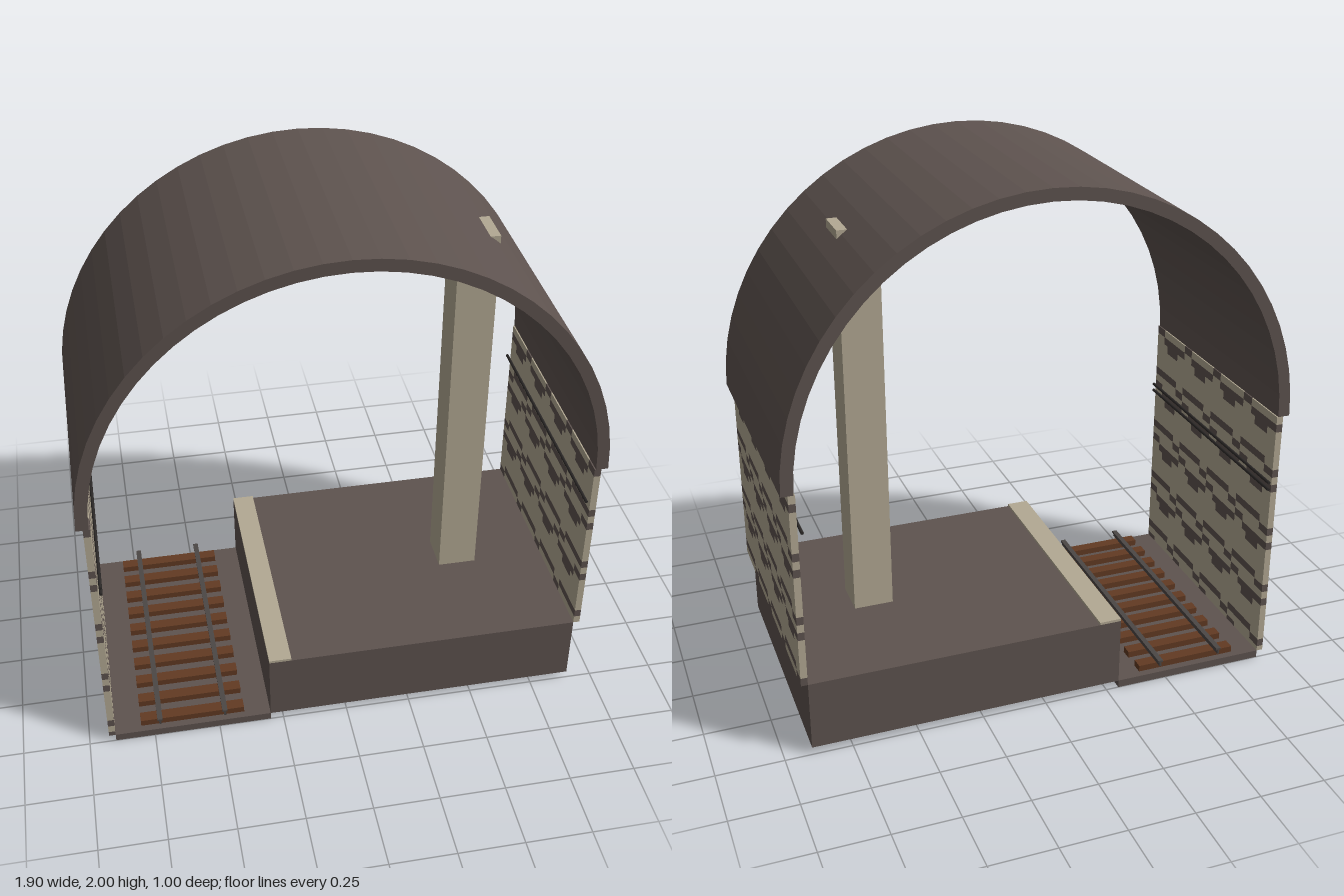
import * as THREE from 'three';
import { mergeGeometries } from 'three/addons/utils/BufferGeometryUtils.js';

const material = (name, color) => {
  const m = new THREE.MeshStandardMaterial({ color });
  m.name = name;
  return m;
};

// Box given by its minimum and maximum corners
function boxGeometry(x0, x1, y0, y1, z0, z1) {
  return new THREE.BoxGeometry(x1 - x0, y1 - y0, z1 - z0)
    .translate((x0 + x1) / 2, (y0 + y1) / 2, (z0 + z1) / 2);
}

// Repeating 8 x 8 masonry tile: # is dark joint, . is light stone
const TILE = [
  '##......',
  '..######',
  '...###..',
  '........',
  '........',
  '........',
  '######..',
  '......##',
];

export function createModel() {
  const model = new THREE.Group();
  model.name = 'stationTunnel';
  const darkStone = material('dark stone', 0x5e534f);
  const lightStone = material('light stone', 0xb3a993);
  const wood = material('sleeper wood', 0x623a22);
  const steel = material('rail steel', 0x4c4745);
  const rubber = material('cable black', 0x2b2827);

  const add = (name, geometry, mat, parent = model) => {
    const mesh = new THREE.Mesh(geometry, mat);
    mesh.name = name;
    parent.add(mesh);
    return mesh;
  };

  // Vaulted roof
  const arch = new THREE.Shape();
  arch.absarc(0, 0, 0.95, 0, Math.PI, false);
  arch.absarc(0, 0, 0.905, Math.PI, 0, true);
  add('archedRoof', new THREE.ExtrudeGeometry(arch, {
    depth: 1, bevelEnabled: false, curveSegments: 16,
  }).translate(0, 1.05, -0.5), darkStone);

  // Patterned side walls, each row cut into runs of one colour
  const cell = 0.25 / 8;
  function addWall(name, x0, x1, bottom, top) {
    const wall = new THREE.Group();
    wall.name = name;
    const runs = { '#': [], '.': [] };
    for (let row = 0; top - row * cell > bottom + 0.001; row++) {
      const y1 = top - row * cell;
      const y0 = Math.max(bottom, y1 - cell);
      const line = TILE[row % 8].repeat(4);
      for (let start = 0; start < 32;) {
        let end = start + 1;
        while (end < 32 && line[end] === line[start]) end++;
        runs[line[start]].push(boxGeometry(x0, x1, y0, y1, 0.5 - end * cell, 0.5 - start * cell));
        start = end;
      }
    }
    add('wallStones', mergeGeometries(runs['.']), lightStone, wall);
    add('wallJoints', mergeGeometries(runs['#']), darkStone, wall);
    model.add(wall);
  }
  addWall('trackWall', -0.925, -0.9, 0.03, 1.05);
  addWall('platformWall', 0.9, 0.925, 0.3, 1.05);

  // Platform, its edge strip and the pillar
  add('platform', boxGeometry(-0.3, 0.9, 0.03, 0.3, -0.5, 0.5), darkStone);
  add('platformEdge', boxGeometry(-0.3, -0.215, 0.3, 0.31, -0.5, 0.5), lightStone);
  add('pillar', boxGeometry(0.47, 0.62, 0.3, 1.8, -0.075, 0.075), lightStone);

  // Track bed with sleepers and rails
  add('trackBed', boxGeometry(-0.9, -0.3, 0, 0.03, -0.5, 0.5), darkStone);
  for (let i = 0; i < 10; i++) {
    const z = -0.45 + i * 0.1;
    add('sleeper', boxGeometry(-0.8, -0.4, 0.03, 0.055, z - 0.022, z + 0.022), wood);
  }
  for (const x of [-0.727, -0.477]) {
    const rail = mergeGeometries([
      boxGeometry(x - 0.004, x + 0.004, 0.055, 0.072, -0.5, 0.5),
      boxGeometry(x - 0.01, x + 0.01, 0.072, 0.08, -0.5, 0.5),
    ]);
    add('rail', rail, steel);
  }

  // Cables along the walls
  for (const [x, y] of [[-0.89, 0.78], [-0.89, 0.752], [0.885, 0.905]]) {
    add('cable', new THREE.CylinderGeometry(0.006, 0.006, 1, 8)
      .rotateX(Math.PI / 2).translate(x, y, 0), rubber);
  }
  return model;
}
